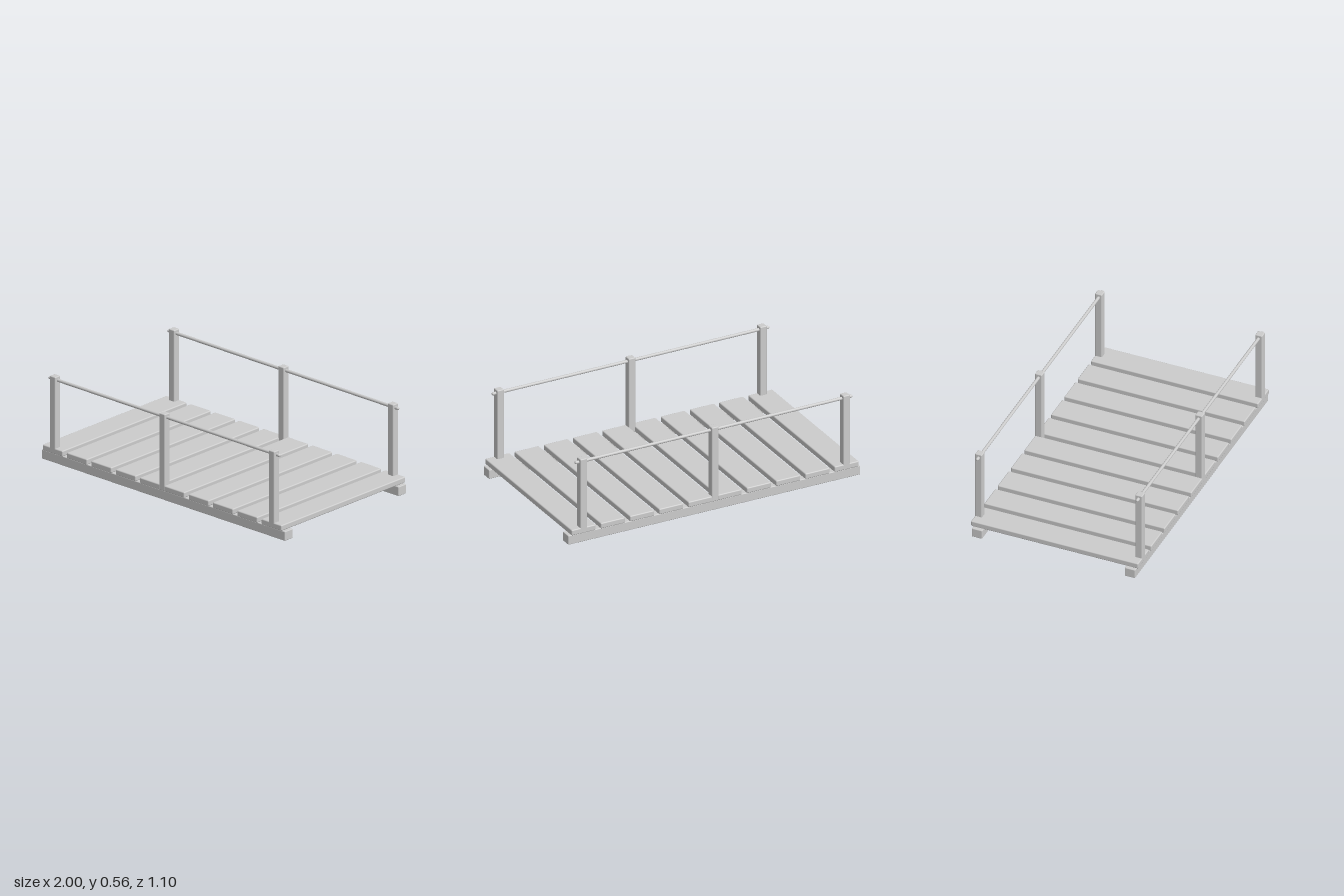
import * as THREE from 'three';
import { RoundedBoxGeometry } from 'three/addons/geometries/RoundedBoxGeometry.js';

export function createModel() {
  const model = new THREE.Group();
  model.name = 'footbridge';
  const wood = new THREE.MeshStandardMaterial({ color: 0xcccccc });
  wood.name = 'pale grey wood';

  const add = (name, geometry, x, y, z) => {
    const mesh = new THREE.Mesh(geometry, wood);
    mesh.name = name;
    mesh.position.set(x, y, z);
    model.add(mesh);
    return mesh;
  };

  // Softly rounded timber shared by each kind of part
  const plank = new RoundedBoxGeometry(0.166, 0.037, 1.1, 2, 0.007);
  const beam = new RoundedBoxGeometry(2, 0.061, 0.069, 2, 0.005);
  const post = new RoundedBoxGeometry(0.046, 0.498, 0.046, 2, 0.006);
  const rail = new THREE.CapsuleGeometry(0.01, 1.88, 6, 16);
  rail.rotateZ(Math.PI / 2);

  // Deck planks
  for (let i = 0; i < 10; i++) add('deckPlank', plank, -0.9 + i * 0.2, 0.0815, 0);

  // Support beam, posts and handrail on each side
  for (const side of [1, -1]) {
    const name = side > 0 ? 'front' : 'back';
    add(name + 'Beam', beam, 0, 0.0305, side * 0.503);
    for (const x of [-0.9, 0, 0.9]) add(name + 'Post', post, x, 0.312, side * 0.527);
    add(name + 'Rail', rail, 0, 0.537, side * 0.526);
  }
  return model;
}
